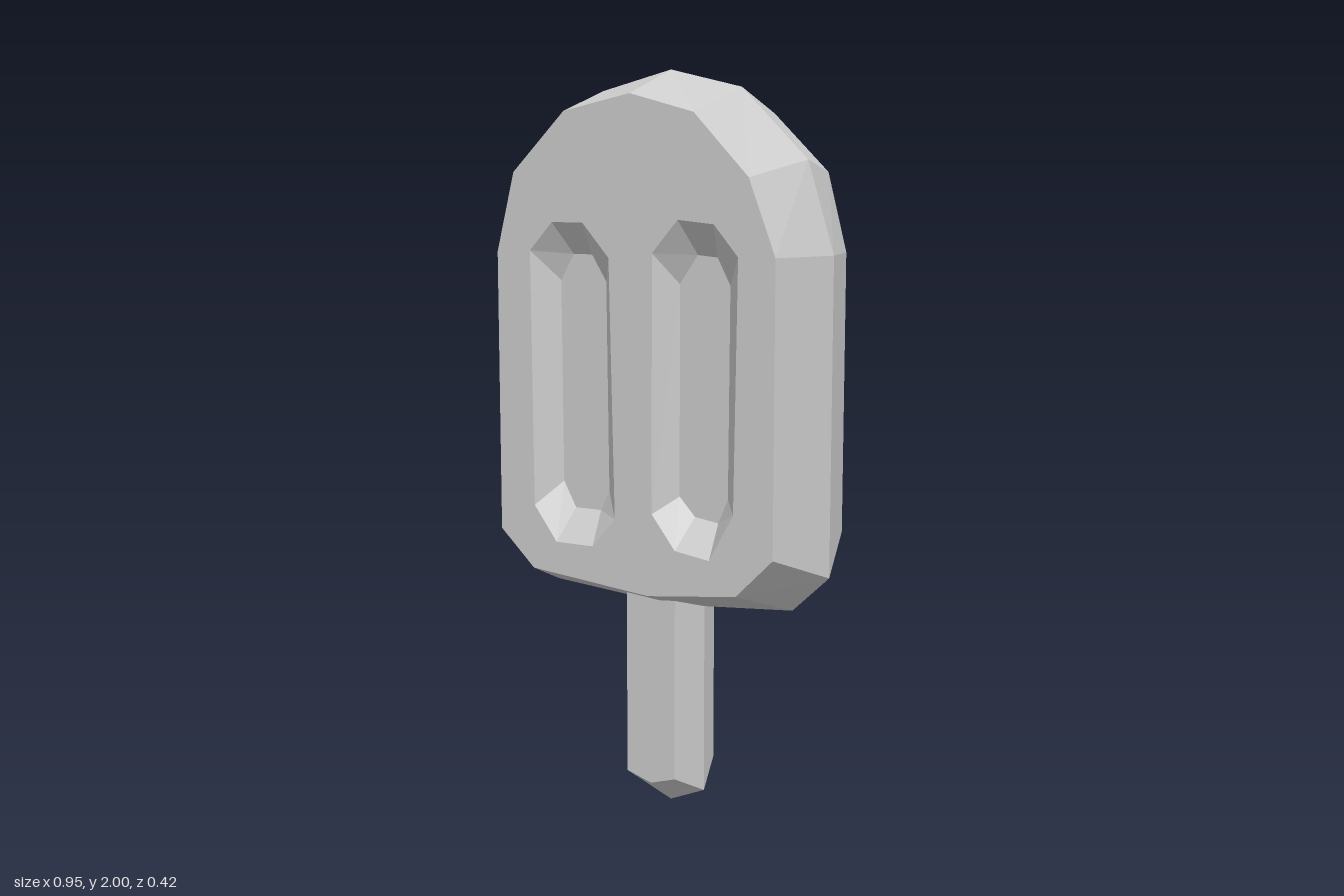
import * as THREE from 'three';

const material = new THREE.MeshStandardMaterial({ color: 0xcccccc, flatShading: true });

function addMesh(group, name, geometry) {
  const mesh = new THREE.Mesh(geometry, material);
  mesh.name = name;
  group.add(mesh);
}

// Band of faces between two loops with the same number of points
function band(loopA, zA, loopB, zB) {
  const positions = [];
  loopA.forEach((a, i) => {
    const j = (i + 1) % loopA.length;
    const p = [...a, zA], q = [...loopB[i], zB];
    const r = [...loopB[j], zB], s = [...loopA[j], zA];
    positions.push(...p, ...q, ...r, ...p, ...r, ...s);
  });
  const geometry = new THREE.BufferGeometry();
  geometry.setAttribute('position', new THREE.Float32BufferAttribute(positions, 3));
  geometry.computeVertexNormals();
  return geometry;
}

// Flat face at depth z, with optional openings
function face(loop, z, holes = []) {
  const points = (l) => l.map(([x, y]) => new THREE.Vector2(x, y));
  const shape = new THREE.Shape(points(loop));
  shape.holes = holes.map((h) => new THREE.Path(points(h)));
  return new THREE.ShapeGeometry(shape).translate(0, 0, z);
}

// All loops run counter-clockwise seen from the front
const bodyMiddle = [
  [0, 2], [-0.21, 1.95], [-0.4, 1.765], [-0.475, 1.525], [-0.475, 0.69], [-0.37, 0.59],
  [0, 0.56], [0.37, 0.59], [0.475, 0.69], [0.475, 1.525], [0.4, 1.765], [0.21, 1.95],
];
const bodyFace = [
  [0, 1.93], [-0.2, 1.89], [-0.36, 1.735], [-0.415, 1.525], [-0.415, 0.77], [-0.31, 0.67],
  [0.05, 0.635], [0.31, 0.665], [0.415, 0.77], [0.415, 1.525], [0.34, 1.72], [0.185, 1.88],
];

// Slightly irregular grooves, each with a rim and a smaller floor
const grooves = [
  {
    name: 'rightGroove',
    rim: [[-0.145, 1.605], [-0.24, 1.605], [-0.31, 1.53], [-0.305, 0.845],
      [-0.235, 0.75], [-0.12, 0.75], [-0.05, 0.83], [-0.065, 1.515]],
    floor: [[-0.16, 1.52], [-0.217, 1.52], [-0.258, 1.45], [-0.255, 0.905],
      [-0.217, 0.835], [-0.137, 0.835], [-0.11, 0.89], [-0.116, 1.45]],
  },
  {
    name: 'leftGroove',
    rim: [[0.243, 1.605], [0.14, 1.615], [0.065, 1.53], [0.063, 0.855],
      [0.132, 0.765], [0.233, 0.75], [0.302, 0.875], [0.312, 1.525]],
    floor: [[0.217, 1.52], [0.16, 1.525], [0.107, 1.45], [0.107, 0.895],
      [0.153, 0.845], [0.222, 0.835], [0.25, 0.9], [0.254, 1.45]],
  },
];

const stickMiddle = [[0.105, 0.75], [-0.105, 0.75], [-0.105, 0.045], [0, 0], [0.105, 0.045]];
const stickFace = [[0.075, 0.75], [-0.075, 0.75], [-0.075, 0.105], [0, 0.082], [0.075, 0.105]];

// One half of the model, from the middle plane to the front
function buildHalf(name) {
  const half = new THREE.Group();
  half.name = name;
  const bodyZ = 0.21, floorZ = 0.14, stickZ = 0.11;

  addMesh(half, 'bodyBevel', band(bodyFace, bodyZ, bodyMiddle, 0));
  addMesh(half, 'bodyFace', face(bodyFace, bodyZ, grooves.map((g) => g.rim)));
  for (const { name: grooveName, rim, floor } of grooves) {
    addMesh(half, grooveName + 'Wall', band(floor, floorZ, rim, bodyZ));
    addMesh(half, grooveName + 'Floor', face(floor, floorZ));
  }

  addMesh(half, 'stickSides', band(stickFace, stickZ, stickMiddle, 0));
  addMesh(half, 'stickFace', face(stickFace, stickZ));
  return half;
}

export function createModel() {
  const model = new THREE.Group();
  model.name = 'icePop';
  const front = buildHalf('frontHalf');
  // The back is the front turned half way round
  const back = buildHalf('backHalf');
  back.rotation.y = Math.PI;
  model.add(front, back);
  return model;
}
